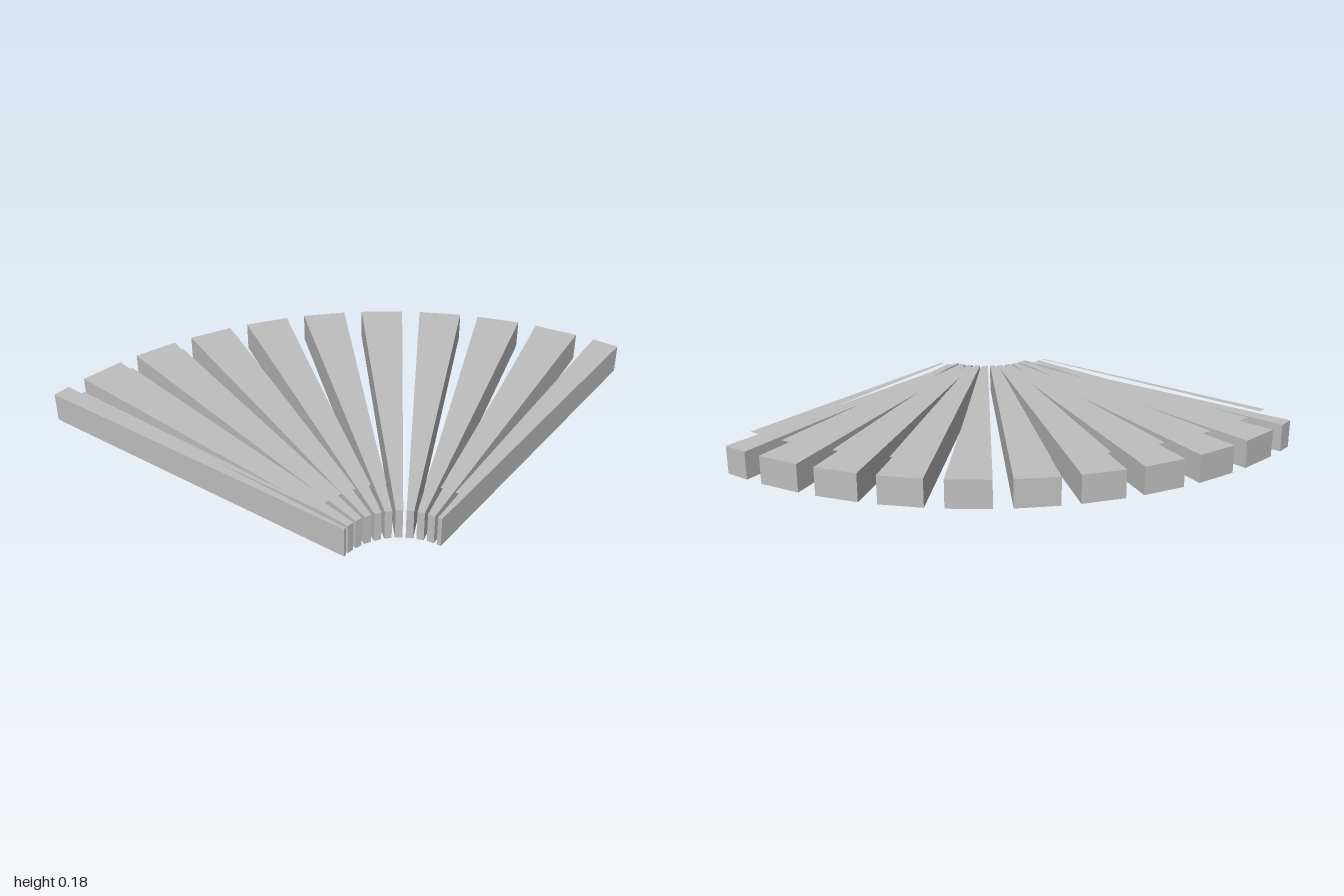
import * as THREE from 'three';

const rad = THREE.MathUtils.degToRad;

// Four-cornered fan segment between two radii and two bearings (degrees from the back, clockwise)
function wedgeShape(r0, r1, a0, a1) {
  const at = (r, a) => new THREE.Vector2(-1 + r * Math.sin(rad(a)), -1 + r * Math.cos(rad(a)));
  return new THREE.Shape([at(r0, a0), at(r0, a1), at(r1, a1), at(r1, a0)]);
}

export function createModel() {
  const group = new THREE.Group();
  group.name = 'windingStairFan';
  const grey = new THREE.MeshStandardMaterial({ color: 0xbfbfbf });
  grey.name = 'grey';
  const greySheet = new THREE.MeshStandardMaterial({ color: 0xbfbfbf, side: THREE.DoubleSide });
  greySheet.name = 'greySheet';

  const count = 11, pitch = 9, halfWidth = 3.15, inset = 0.55;
  const height = 0.144, sheetHeight = 0.18;

  for (let i = 0; i < count; i++) {
    // The first and last blades are cut off at the quarter-circle's edges
    const mid = -0.65 + i * pitch;
    const a0 = Math.max(0, mid - halfWidth);
    const a1 = Math.min(90, mid + halfWidth);

    // Solid tapered blade
    const solid = new THREE.ExtrudeGeometry(wedgeShape(0.288, 2, a0, a1), { depth: height, bevelEnabled: false });
    solid.rotateX(-Math.PI / 2);
    const blade = new THREE.Mesh(solid, grey);
    blade.name = `blade${i + 1}`;

    // Thin sheet hovering just above the blade
    const flat = new THREE.ShapeGeometry(wedgeShape(0.43, 1.86, a0 + inset, a1 - inset));
    flat.rotateX(-Math.PI / 2);
    const sheet = new THREE.Mesh(flat, greySheet);
    sheet.name = `topSheet${i + 1}`;
    sheet.position.y = sheetHeight;

    group.add(blade, sheet);
  }
  return group;
}
